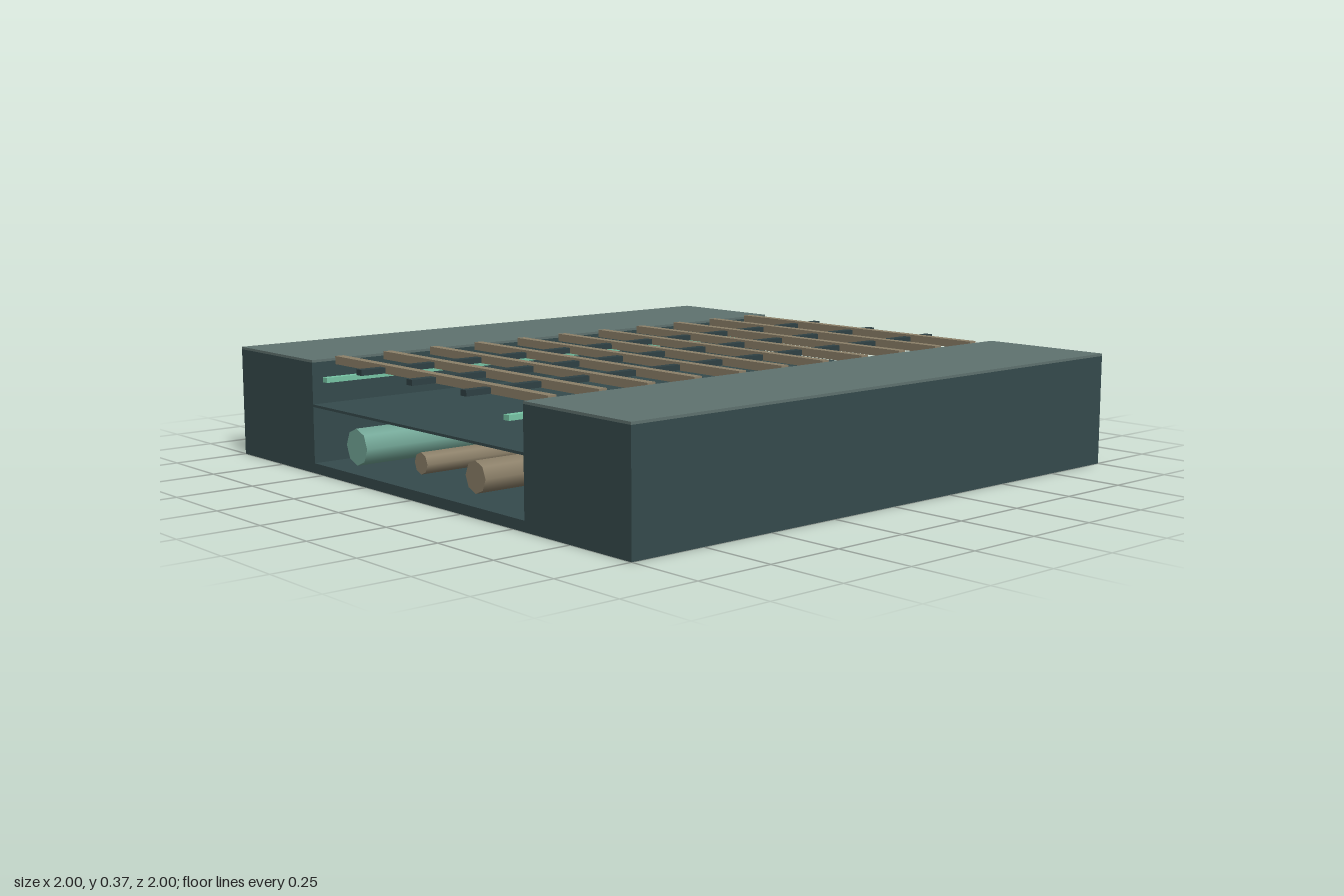
import * as THREE from 'three';

const flat = (name, color) => {
  const m = new THREE.MeshStandardMaterial({ color });
  m.name = name;
  return m;
};

export function createModel() {
  const group = new THREE.Group();
  const slate = flat('slate', 0x354a4c);
  const deckGrey = flat('deckGrey', 0x5f726f);
  const bronze = flat('bronze', 0x8c8069);
  const darkSteel = flat('darkSteel', 0x2f4144);
  const mint = flat('mint', 0x78c6a6);
  const teal = flat('teal', 0x74a898);

  const add = (name, geometry, material, x, y, z) => {
    const mesh = new THREE.Mesh(geometry, material);
    mesh.name = name;
    mesh.position.set(x, y, z);
    group.add(mesh);
  };
  // Box given by its x, y and z extents
  const box = (name, material, x0, x1, y0, y1, z0 = -1, z1 = 1) =>
    add(name, new THREE.BoxGeometry(x1 - x0, y1 - y0, z1 - z0), material,
      (x0 + x1) / 2, (y0 + y1) / 2, (z0 + z1) / 2);
  // Faceted pipe running the length of the channel
  const pipe = (name, material, x, radius) => {
    const geometry = new THREE.CylinderGeometry(radius, radius, 1.996, 8).rotateX(Math.PI / 2);
    add(name, geometry, material, x, 0.118, 0);
  };

  // Base slab and the thin shelf over the pipes
  box('baseSlab', slate, -1, 1, 0, 0.032);
  box('channelShelf', slate, -0.55, 0.55, 0.213, 0.221);

  // Side blocks, their walkway plates and the light strips
  for (const [side, s] of [['left', 1], ['right', -1]]) {
    const span = (a, b) => (s > 0 ? [a, b] : [-b, -a]);
    box(side + 'Block', slate, ...span(0.55, 1), 0.032, 0.354);
    box(side + 'DeckPlate', deckGrey, ...span(0.55, 1), 0.354, 0.362);
    box(side + 'LightStrip', mint, ...span(0.462, 0.486), 0.299, 0.315);
  }

  // Pipes under the shelf
  pipe('largePipe', teal, -0.3, 0.058);
  pipe('smallPipe', bronze, 0.05, 0.033);
  pipe('mediumPipe', bronze, 0.322, 0.048);

  // Grating: bars across the channel over three long bearers
  for (let i = -5; i <= 5; i++) {
    const z = i * 0.18;
    box('crossBar', bronze, -0.55, 0.55, 0.342, 0.368, z - 0.015, z + 0.015);
  }
  for (const x of [-0.273, 0, 0.273])
    box('gratingBearer', darkSteel, x - 0.014, x + 0.014, 0.343, 0.361);

  return group;
}
